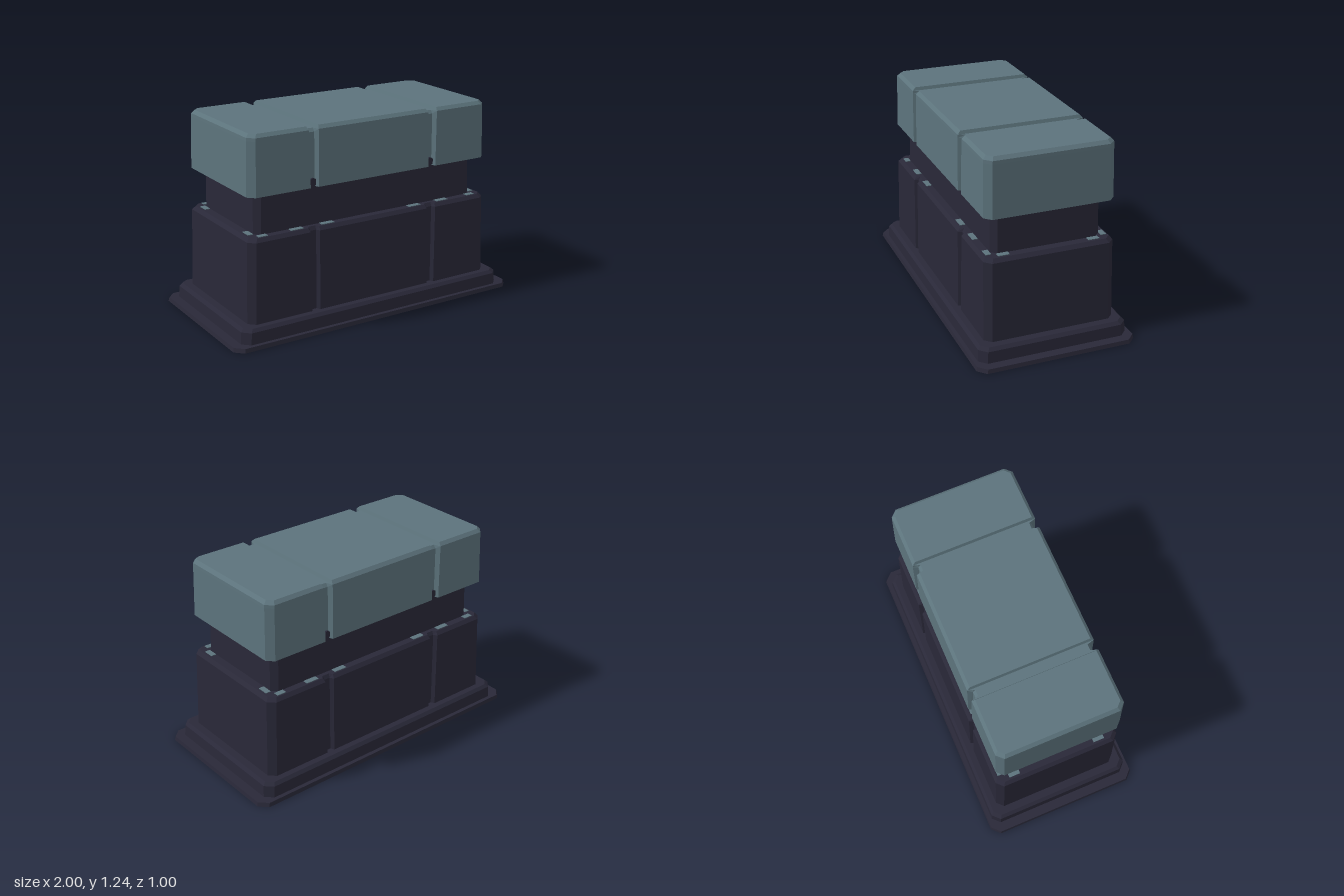
import * as THREE from 'three';

const GROOVE = 0.42;

// Chamfered rectangle; c0 and c1 are the corner cuts at its left and right ends
function block(x0, x1, z, c0, c1) {
  return [[x0, -z + c0], [x0 + c0, -z], [x1 - c1, -z], [x1, -z + c1],
    [x1, z - c1], [x1 - c1, z], [x0 + c0, z], [x0, z - c0]];
}
const rect = (x, z, c) => block(-x, x, z, c, c);

// Chamfered rectangle with two grooves in both the front and back edges
function grooved(x, z, c, w, d) {
  const half = [[-x, -z + c], [-x + c, -z]];
  for (const g of [-GROOVE, GROOVE]) {
    half.push([g - w, -z], [g - w * 0.6, -z + d], [g + w * 0.6, -z + d], [g + w, -z]);
  }
  half.push([x - c, -z], [x, -z + c]);
  return [...half, ...half.map(([a, b]) => [-a, -b])];
}

// Joins [height, outline] rings into faceted walls, with optional caps
function loft(rings, capBottom = false) {
  const pos = [];
  const put = (p, y) => pos.push(p[0], y, -p[1]);
  for (let k = 0; k < rings.length - 1; k++) {
    const [y0, a] = rings[k], [y1, b] = rings[k + 1];
    for (let i = 0; i < a.length; i++) {
      const j = (i + 1) % a.length;
      put(a[i], y0); put(a[j], y0); put(b[j], y1);
      put(a[i], y0); put(b[j], y1); put(b[i], y1);
    }
  }
  const cap = ([y, pts], flip) => {
    const contour = pts.map(([a, b]) => new THREE.Vector2(a, b));
    for (const t of THREE.ShapeUtils.triangulateShape(contour, [])) {
      for (const i of flip ? [t[0], t[2], t[1]] : t) put(pts[i], y);
    }
  };
  cap(rings[rings.length - 1], false);
  if (capBottom) cap(rings[0], true);
  const geo = new THREE.BufferGeometry();
  geo.setAttribute('position', new THREE.Float32BufferAttribute(pos, 3));
  geo.computeVertexNormals();
  return geo;
}

export function createModel() {
  const group = new THREE.Group();
  const dark = new THREE.MeshStandardMaterial({ color: 0x292838, side: THREE.DoubleSide });
  dark.name = 'dark shell';
  const teal = new THREE.MeshStandardMaterial({ color: 0x5c737c, side: THREE.DoubleSide });
  teal.name = 'grey teal';
  const add = (name, geo, mat, x = 0, y = 0, z = 0) => {
    const mesh = new THREE.Mesh(geo, mat);
    mesh.name = name;
    mesh.position.set(x, y, z);
    group.add(mesh);
  };

  // Stepped plinth with a narrow rim around a shallow underside
  add('base', loft([
    [0.012, rect(0.955, 0.455, 0.04)],
    [0, rect(0.965, 0.465, 0.045)],
    [0, rect(1, 0.5, 0.05)],
    [0.025, rect(0.995, 0.495, 0.05)],
    [0.025, rect(0.937, 0.47, 0.045)],
    [0.097, rect(0.932, 0.466, 0.045)],
    [0.115, rect(0.912, 0.448, 0.04)],
  ], true), dark);

  // Tapered body with vertical grooves
  add('body', loft([
    [0.115, grooved(0.865, 0.41, 0.04, 0.027, 0.025)],
    [0.61, grooved(0.85, 0.403, 0.04, 0.032, 0.025)],
    [0.632, grooved(0.83, 0.385, 0.035, 0.038, 0.02)],
  ]), dark);

  // Inner neck below the lid
  add('neck', loft([
    [0.632, rect(0.78, 0.34, 0.035)],
    [0.873, rect(0.775, 0.337, 0.035)],
  ]), dark);

  // Hollow lid: grooved walls, then three raised top panels
  add('lid', loft([
    [0.877, grooved(0.845, 0.4, 0.04, 0.027, 0.03)],
    [1.2, grooved(0.836, 0.395, 0.04, 0.032, 0.03)],
    [1.22, grooved(0.835, 0.394, 0.04, 0.032, 0.045)],
  ]), teal);
  const panels = [
    [-0.835, -GROOVE - 0.032, 0.04, 0],
    [-GROOVE + 0.032, GROOVE - 0.032, 0, 0],
    [GROOVE + 0.032, 0.835, 0, 0.04],
  ];
  for (const [x0, x1, c0, c1] of panels) {
    const in0 = c0 ? 0.02 : 0.008, in1 = c1 ? 0.02 : 0.008;
    add('lidPanel', loft([
      [1.22, block(x0, x1, 0.394, c0, c1)],
      [1.24, block(x0 + in0, x1 - in1, 0.375, c0 * 0.8, c1 * 0.8)],
    ]), teal);
  }

  // Dark catches in the lid grooves and small pads on the ledge
  const catchGeo = new THREE.CylinderGeometry(0.026, 0.026, 0.02, 8).rotateX(Math.PI / 2);
  for (const sz of [-1, 1]) {
    for (const sx of [-1, 1]) {
      add('catch', catchGeo, dark, sx * GROOVE, 0.903, sz * 0.371);
      for (const x of [GROOVE - 0.105, GROOVE + 0.105, 0.75]) {
        add('ledgePad', new THREE.BoxGeometry(x > 0.7 ? 0.06 : 0.085, 0.005, 0.034), teal, sx * x, 0.633, sz * 0.36);
      }
      add('ledgePad', new THREE.BoxGeometry(0.034, 0.005, 0.07), teal, sx * 0.8, 0.633, sz * 0.28);
    }
  }
  return group;
}
